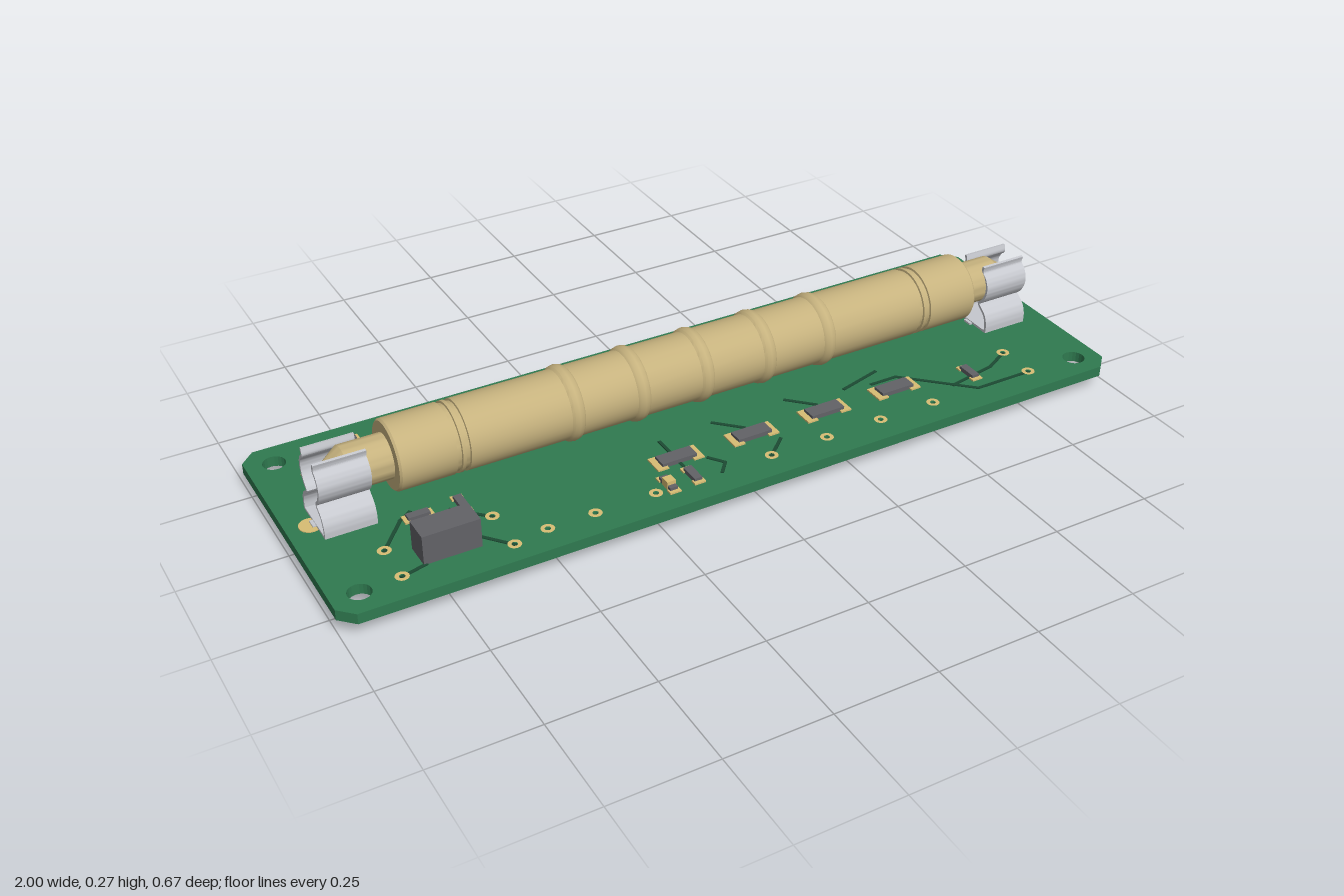
import * as THREE from 'three';
import { toCreasedNormals } from 'three/addons/utils/BufferGeometryUtils.js';

const mat = (name, color, extra = {}) => Object.assign(new THREE.MeshStandardMaterial({ color, ...extra }), { name });
const green = mat('board green', 0x2f7a50);
const darkGreen = mat('trace green', 0x1c4a33);
const tan = mat('tube tan', 0xc6b27e);
const steel = mat('clip steel', 0xc6c8ce);
const grey = mat('component grey', 0x626267);
const gold = mat('pad gold', 0xd8bd74, { side: THREE.DoubleSide });

const TOP = 0.061, BOTTOM = 0.035;

function add(parent, name, geometry, material, x = 0, y = 0, z = 0) {
  const m = new THREE.Mesh(geometry, material);
  m.name = name;
  m.position.set(x, y, z);
  parent.add(m);
  return m;
}
const box = (w, h, d) => new THREE.BoxGeometry(w, h, d);

// Chamfered board with four mounting holes and small drill holes
function board(drills) {
  const X = 1, Z = 0.333, c = 0.035;
  const s = new THREE.Shape([[-X + c, -Z], [X - c, -Z], [X, -Z + c], [X, Z - c], [X - c, Z],
    [-X + c, Z], [-X, Z - c], [-X, -Z + c]].map(p => new THREE.Vector2(...p)));
  const hole = (x, z, r) => s.holes.push(new THREE.Path().absarc(x, -z, r, 0, Math.PI * 2, true));
  for (const x of [-0.935, 0.935]) for (const z of [-0.267, 0.267]) hole(x, z, 0.027);
  for (const [x, z] of drills) hole(x, z, 0.007);
  const g = new THREE.ExtrudeGeometry(s, { depth: TOP - BOTTOM, bevelEnabled: false, curveSegments: 10 });
  g.rotateX(-Math.PI / 2);
  return g;
}

// Stepped tube turned around the x axis, with rings, grooves and tapered ends
function tube() {
  const half = [];
  const ring = x => half.push([0.083, x - 0.016], [0.088, x - 0.011], [0.0905, x], [0.088, x + 0.011], [0.083, x + 0.016]);
  const groove = x => half.push([0.083, x - 0.006], [0.078, x - 0.005], [0.078, x + 0.005], [0.083, x + 0.006]);
  ring(0.167);
  ring(0.333);
  groove(0.6);
  groove(0.62);
  half.push([0.083, 0.755], [0.079, 0.76], [0.053, 0.76], [0.053, 0.86], [0.025, 0.9], [0, 0.9]);
  const mirrored = half.map(([r, x]) => [r, -x]).reverse();
  const middle = [[0.083, -0.016], [0.088, -0.011], [0.0905, 0], [0.088, 0.011], [0.083, 0.016]];
  const pts = [...mirrored, ...middle, ...half].map(p => new THREE.Vector2(...p));
  const g = new THREE.LatheGeometry(pts, 48);
  g.rotateZ(-Math.PI / 2);
  return toCreasedNormals(g, 0.6);
}

// Sprung strip: side profile (z, y) thickened and extruded along x
function clipSide(length, sign) {
  const curve = new THREE.CatmullRomCurve3([[0.063, 0.063], [0.063, 0.088], [0.054, 0.11], [0.03, 0.132],
    [0.042, 0.145], [0.054, 0.168], [0.055, 0.19], [0.046, 0.209], [0.034, 0.221], [0.037, 0.238]]
    .map(([z, y]) => new THREE.Vector3(z * sign, y, 0)));
  const outer = [], inner = [], n = 36, t = 0.0035;
  for (let i = 0; i <= n; i++) {
    const p = curve.getPoint(i / n), d = curve.getTangent(i / n);
    outer.push(new THREE.Vector2(p.x - d.y * t, p.y + d.x * t));
    inner.push(new THREE.Vector2(p.x + d.y * t, p.y - d.x * t));
  }
  const g = new THREE.ExtrudeGeometry(new THREE.Shape([...outer, ...inner.reverse()]), { depth: length, bevelEnabled: false });
  g.translate(0, 0, -length / 2).rotateY(Math.PI / 2);
  return toCreasedNormals(g, 0.7);
}

function clip(x) {
  const g = new THREE.Group();
  g.name = 'tubeClip';
  for (const s of [-1, 1]) {
    add(g, 'clipSpring', clipSide(0.12, s), steel);
    add(g, 'clipLeg', box(0.008, 0.066, 0.024), steel, s * 0.064, 0.033, 0);
  }
  add(g, 'clipBase', box(0.12, 0.006, 0.128), steel, 0, TOP + 0.004, 0);
  g.position.x = x;
  return g;
}

// Surface-mount part: dark body between two gold pads
function chip(name, x, z, length, width, height, turned) {
  const g = new THREE.Group();
  g.name = name;
  add(g, 'chipBody', box(length * 0.74, height, width * 0.7), grey, 0, height / 2, 0);
  for (const s of [-1, 1]) add(g, 'chipPad', box(length * 0.23, 0.004, width), gold, s * length * 0.385, 0.002, 0);
  g.position.set(x, TOP, z);
  if (turned) g.rotation.y = Math.PI / 2;
  return g;
}

// Thin trace made from straight segments
function trace(parent, points, y, material, name) {
  for (let i = 1; i < points.length; i++) {
    const [x0, z0] = points[i - 1], [x1, z1] = points[i];
    const m = add(parent, name, box(Math.hypot(x1 - x0, z1 - z0) + 0.006, 0.003, 0.008), material, (x0 + x1) / 2, y, (z0 + z1) / 2);
    m.rotation.y = -Math.atan2(z1 - z0, x1 - x0);
  }
}

export function createModel() {
  const model = new THREE.Group();
  model.name = 'tubeCircuitBoard';

  // Plated holes
  const drills = [[-0.67, -0.2], [-0.785, -0.165], [-0.84, 0.165], [-0.84, 0.265], [-0.59, 0.165], [-0.59, 0.28],
    [0.795, -0.09], [0.795, 0.165], [0.795, 0.265], [-0.67, -0.268], [-0.59, -0.268], [-0.39, -0.268], [-0.505, 0.265],
    [-0.39, 0.265], [-0.24, 0.265]];
  for (const x of [-0.07, 0.06, 0.21, 0.36, 0.51]) drills.push([x, -0.268]);
  for (const x of [0.06, 0.21, 0.36, 0.51]) drills.push([x, 0.265]);
  add(model, 'board', board(drills), green, 0, BOTTOM, 0);
  const ringGeo = new THREE.RingGeometry(0.007, 0.016, 16).rotateX(-Math.PI / 2);
  for (const [x, z] of drills) add(model, 'testPad', ringGeo, gold, x, TOP + 0.003, z);
  const legPad = new THREE.CylinderGeometry(0.026, 0.026, 0.003, 20);
  for (const x of [-0.945, 0.945]) add(model, 'legPad', legPad, gold, x, TOP + 0.0005, 0);

  // Tube and its clips
  add(model, 'tube', tube(), tan, 0, 0.182, 0);
  for (const s of [-1, 1]) model.add(clip(s * 0.875));

  // Block component
  add(model, 'blockComponent', box(0.134, 0.072, 0.066), grey, -0.718, TOP + 0.036, 0.217);

  // Two rows of large resistors
  for (const x of [-0.135, 0.065, 0.265, 0.465])
    for (const z of [-0.168, 0.168]) model.add(chip('resistor', x, z, 0.12, 0.053, 0.011, false));

  // Small parts: x, z, turned
  for (const [x, z, turned] of [[0.665, -0.19, 1], [0.665, 0.2, 1], [0.745, -0.168, 0], [0.845, -0.168, 0],
    [-0.85, -0.235, 1], [-0.885, -0.155, 1], [-0.52, -0.252, 0], [-0.44, -0.252, 0], [-0.635, -0.102, 0],
    [-0.765, -0.268, 0], [-0.73, 0.085, 0], [-0.63, 0.09, 1], [-0.2, -0.24, 1], [-0.135, -0.245, 1],
    [-0.135, 0.245, 1], [-0.2, 0.25, 1]]) model.add(chip('smallPart', x, z, 0.07, 0.028, 0.011, turned));
  for (const z of [-0.252, 0.252]) add(model, 'tallPad', box(0.022, 0.02, 0.024), gold, -0.2, TOP + 0.01, z);

  // Traces on the upper face
  const upper = [
    [[-0.84, 0.165], [-0.77, 0.08], [-0.74, 0.06]], [[-0.84, 0.265], [-0.78, 0.25]],
    [[-0.59, 0.165], [-0.66, 0.095]], [[-0.59, 0.28], [-0.665, 0.19], [-0.665, 0.13]],
    [[-0.785, -0.165], [-0.715, -0.1], [-0.61, -0.1]], [[-0.84, -0.23], [-0.77, -0.26]],
    [[-0.67, -0.2], [-0.58, -0.252], [-0.22, -0.252]], [[-0.135, -0.25], [-0.135, -0.2]],
    [[-0.2, -0.25], [-0.2, -0.18]], [[0.07, -0.115], [0.26, -0.115], [0.26, -0.16]],
    [[0.33, -0.15], [0.43, -0.08]], [[0.56, -0.11], [0.52, -0.08]],
    [[0.795, 0.265], [0.645, 0.265], [0.5, 0.125], [0.43, 0.125]],
    [[0.795, 0.165], [0.73, 0.2], [0.6, 0.225]], [[0.665, -0.25], [0.665, -0.12]],
    [[0.665, -0.168], [0.87, -0.168]], [[-0.07, 0.265], [-0.045, 0.235], [-0.07, 0.2]],
    [[0.06, 0.265], [0.115, 0.215]], [[-0.135, 0.09], [-0.135, 0.26]],
    [[0.065, 0.135], [0.01, 0.08]], [[0.36, 0.11], [0.47, 0.08]], [[0.265, 0.135], [0.21, 0.08]]];
  for (const t of upper) trace(model, t, TOP + 0.0007, darkGreen, 'upperTrace');

  // Traces on the lower face
  const lower = [[[-0.6, 0.2], [-0.3, 0.2], [-0.2, 0.1]], [[-0.5, -0.25], [-0.2, -0.25], [-0.1, -0.15], [-0.1, 0.05]],
    [[0.06, -0.2], [0.06, 0.15], [0.16, 0.25]], [[0.25, -0.1], [0.45, -0.1], [0.55, -0.2]],
    [[0.3, 0.2], [0.5, 0.2], [0.62, 0.08]], [[-0.75, -0.1], [-0.5, -0.1], [-0.4, 0.02]]];
  for (const t of lower) trace(model, t, BOTTOM - 0.0005, green, 'lowerTrace');

  return model;
}
